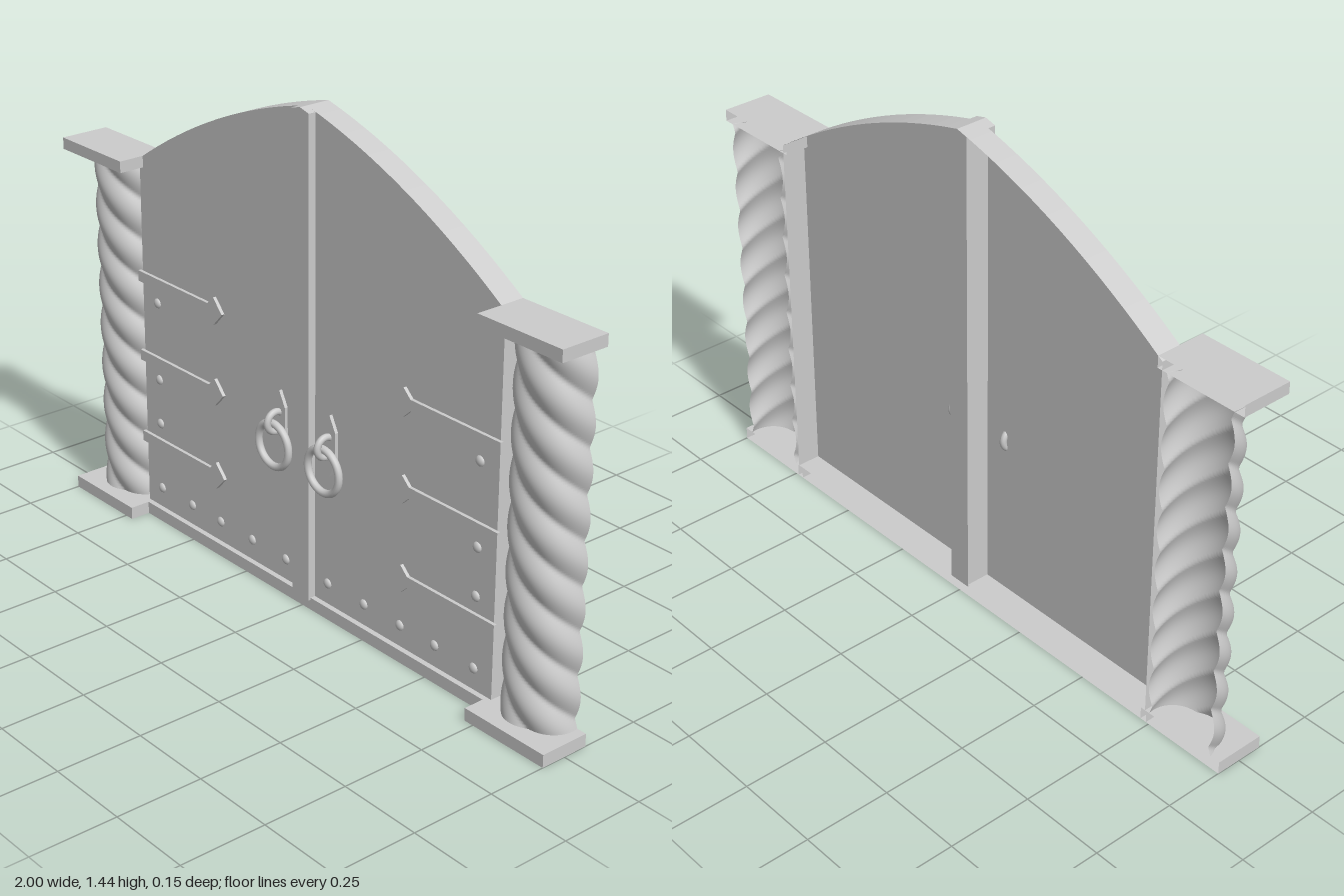
import * as THREE from 'three';

const BACK = -0.075, DOOR_Z = -0.003, FRONT = 0.02;
const mat = new THREE.MeshStandardMaterial({ color: 0xcccccc, side: THREE.DoubleSide });

function add(parent, name, geo, x = 0, y = 0, z = 0) {
  const mesh = new THREE.Mesh(geo, mat);
  mesh.name = name;
  mesh.position.set(x, y, z);
  parent.add(mesh);
  return mesh;
}

// Box between two corners, left open at the rear
function openBox(x0, x1, y0, y1, z0, z1) {
  const geo = new THREE.BoxGeometry(x1 - x0, y1 - y0, z1 - z0);
  geo.setIndex(Array.from(geo.index.array).slice(0, 30));
  geo.clearGroups();
  return geo.translate((x0 + x1) / 2, (y0 + y1) / 2, (z0 + z1) / 2);
}

const shapeOf = pts => new THREE.Shape(pts.map(p => new THREE.Vector2(p[0], p[1])));
const extrude = (shape, depth) => new THREE.ExtrudeGeometry(shape, { depth, bevelEnabled: false });

// Right half of the pointed arch, from the spring to the peak
const HALF_W = 0.735;
const arch = new THREE.QuadraticBezierCurve(
  new THREE.Vector2(HALF_W, 1.11), new THREE.Vector2(0.38, 1.35), new THREE.Vector2(0, 1.44)
).getPoints(16);
const outline = [[HALF_W, 0.02], ...arch.map(p => [p.x, p.y]),
  ...arch.slice(0, -1).reverse().map(p => [-p.x, p.y]), [-HALF_W, 0.02]];

// Rim running back from the edge of the doors: jambs and arched top
function rimGeometry() {
  const pos = [];
  for (let i = 0; i < outline.length - 1; i++) {
    const [ax, ay] = outline[i], [bx, by] = outline[i + 1];
    pos.push(ax, ay, DOOR_Z, ax, ay, BACK, bx, by, BACK);
    pos.push(ax, ay, DOOR_Z, bx, by, BACK, bx, by, DOOR_Z);
  }
  const geo = new THREE.BufferGeometry();
  geo.setAttribute('position', new THREE.Float32BufferAttribute(pos, 3));
  geo.computeVertexNormals();
  return geo;
}

// Half-round twisted shaft, open at the rear
function twistedShaft(y0, y1) {
  const lobes = 4, lead = 0.5;
  const geo = new THREE.PlaneGeometry(1, 1, 64, 160);
  const p = geo.attributes.position;
  for (let i = 0; i < p.count; i++) {
    const a = (0.5 - p.getX(i)) * Math.PI;
    const y = y0 + (p.getY(i) + 0.5) * (y1 - y0);
    const r = 0.1 + 0.016 * Math.abs(Math.cos(lobes / 2 * (a - 2 * Math.PI * y / lead)));
    p.setXYZ(i, r * Math.cos(a), y, BACK + r * Math.sin(a));
  }
  geo.computeVertexNormals();
  return geo;
}

function createColumn(side) {
  const column = new THREE.Group();
  column.name = side > 0 ? 'leftColumn' : 'rightColumn';
  add(column, 'shaft', twistedShaft(0.037, 1.088));
  add(column, 'base', openBox(-0.14, 0.14, 0, 0.037, BACK, 0.075));
  add(column, 'capital', openBox(-0.14, 0.14, 1.086, 1.12, BACK, 0.075));
  column.position.x = side * 0.86;
  return column;
}

function createFittings(side) {
  const group = new THREE.Group();
  group.name = side > 0 ? 'leftDoorFittings' : 'rightDoorFittings';

  // Strap hinges with arrow tips
  const strap = shapeOf([[0.745, 0.016], [0.42, 0.016], [0.393, 0.041], [0.355, 0],
    [0.393, -0.041], [0.42, -0.016], [0.745, -0.016]].map(([x, y]) => [side * x, y]));
  for (const y of [0.755, 0.508, 0.247]) add(group, 'strapHinge', extrude(strap, 0.01), 0, y, DOOR_Z);

  // Domed rivets along the hinge side and the bottom
  const spots = [[0.667, 0.69], [0.667, 0.45], [0.667, 0.31]];
  for (const x of [0.09, 0.24, 0.385, 0.52, 0.667]) spots.push([x, 0.1]);
  for (const [x, y] of spots) {
    const dome = new THREE.SphereGeometry(0.015, 12, 5, 0, Math.PI * 2, 0, Math.PI / 2);
    dome.rotateX(Math.PI / 2).scale(1, 1, 0.6);
    add(group, 'rivet', dome, side * x, y, DOOR_Z);
  }

  // Ring pull: backing plate, staple and ring
  const pull = new THREE.Group();
  pull.name = 'ringPull';
  pull.position.set(side * 0.105, 0, 0);
  const plate = shapeOf([[0, 0.615], [-0.024, 0.57], [-0.024, 0.48], [0, 0.435], [0.024, 0.48], [0.024, 0.57]]);
  add(pull, 'plate', extrude(plate, 0.01), 0, 0, DOOR_Z);
  add(pull, 'staple', new THREE.TorusGeometry(0.029, 0.01, 10, 28).rotateY(Math.PI / 2), 0, 0.526, 0.02);
  add(pull, 'ring', new THREE.TorusGeometry(0.064, 0.011, 12, 48), 0, 0.458, 0.028);
  group.add(pull);
  return group;
}

export function createModel() {
  const model = new THREE.Group();
  model.name = 'gate';

  add(model, 'doorPanels', new THREE.ShapeGeometry(shapeOf(outline)), 0, 0, DOOR_Z);
  add(model, 'archRim', rimGeometry());

  // Central post, cut to the peak of the arch
  const w = 0.035;
  const post = shapeOf([[-w, 0.03], [w, 0.03], [w, 1.431], [0, 1.44], [-w, 1.431]]);
  add(model, 'centrePost', extrude(post, FRONT - BACK), 0, 0, BACK);

  add(model, 'threshold', openBox(-0.74, 0.74, 0, 0.037, BACK, 0.013));

  for (const side of [1, -1]) model.add(createColumn(side), createFittings(side));
  return model;
}
